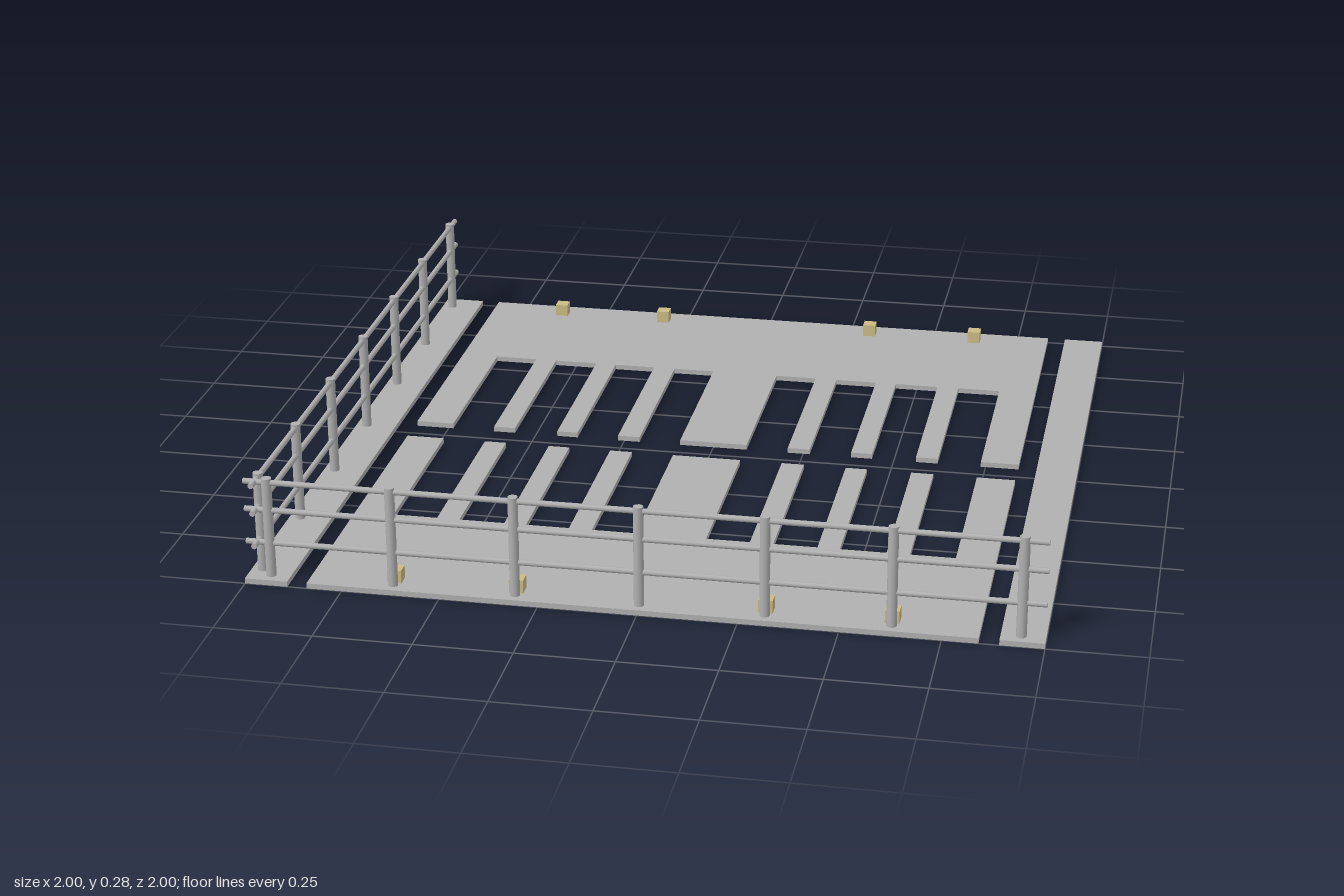
import * as THREE from 'three';

const concrete = new THREE.MeshStandardMaterial({ color: 0xb0b0b0 });
concrete.name = 'grey';
const tan = new THREE.MeshStandardMaterial({ color: 0xcbbb84 });
tan.name = 'tan';

const FLOOR = 0.014;
const POSTS = [-0.94, -0.625, -0.313, 0, 0.313, 0.625, 0.94];

function add(parent, name, geometry, material, x = 0, y = 0, z = 0) {
  const mesh = new THREE.Mesh(geometry, material);
  mesh.name = name;
  mesh.position.set(x, y, z);
  parent.add(mesh);
  return mesh;
}

// Half of the deck: a solid slab with comb teeth reaching towards the centre
function combGeometry() {
  const right = [[0.093, 0.207], [0.268, 0.382], [0.44, 0.56], [0.62, 0.737]];
  const left = right.map(([a, b]) => [-b, -a]).reverse();
  const shape = new THREE.Shape();
  shape.moveTo(-0.84, 1);
  shape.lineTo(-0.84, 0.052);
  for (const [a, b] of [...left, ...right]) {
    shape.lineTo(a, 0.052);
    shape.lineTo(a, 0.563);
    shape.lineTo(b, 0.563);
    shape.lineTo(b, 0.052);
  }
  shape.lineTo(0.84, 0.052);
  shape.lineTo(0.84, 1);
  shape.closePath();
  const geometry = new THREE.ExtrudeGeometry(shape, { depth: FLOOR, bevelEnabled: false });
  return geometry.rotateX(-Math.PI / 2);
}

// Straight fence along x: seven posts carrying three rails
function makeFence(name) {
  const fence = new THREE.Group();
  fence.name = name;
  const postGeometry = new THREE.CylinderGeometry(0.013, 0.013, 0.266, 12);
  const railGeometry = new THREE.CylinderGeometry(0.0075, 0.0075, 2, 10).rotateZ(Math.PI / 2);
  for (const x of POSTS) add(fence, 'fencePost', postGeometry, concrete, x, FLOOR + 0.133, 0);
  for (const y of [0.104, 0.193, 0.268]) add(fence, 'fenceRail', railGeometry, concrete, 0, y, 0);
  return fence;
}

export function createModel() {
  const model = new THREE.Group();
  model.name = 'slottedDeck';

  // Deck halves
  const comb = combGeometry();
  add(model, 'backDeck', comb, concrete);
  add(model, 'frontDeck', comb, concrete).rotation.y = Math.PI;

  // Separate side strips
  const strip = new THREE.BoxGeometry(0.11, FLOOR, 2);
  for (const s of [-1, 1]) add(model, 'sideStrip', strip, concrete, s * 0.945, FLOOR / 2, 0);

  // Fences on two adjacent sides
  const front = makeFence('frontFence');
  front.position.z = 0.969;
  const side = makeFence('rightFence');
  side.rotation.y = Math.PI / 2;
  side.position.x = -0.971;
  model.add(front, side);

  // Small blocks along the front and back edges
  const block = new THREE.BoxGeometry(0.036, 0.034, 0.036);
  for (const z of [-0.94, 0.94])
    for (const x of [-0.625, -0.313, 0.313, 0.625])
      add(model, 'edgeBlock', block, tan, x, FLOOR + 0.017, z);

  return model;
}
